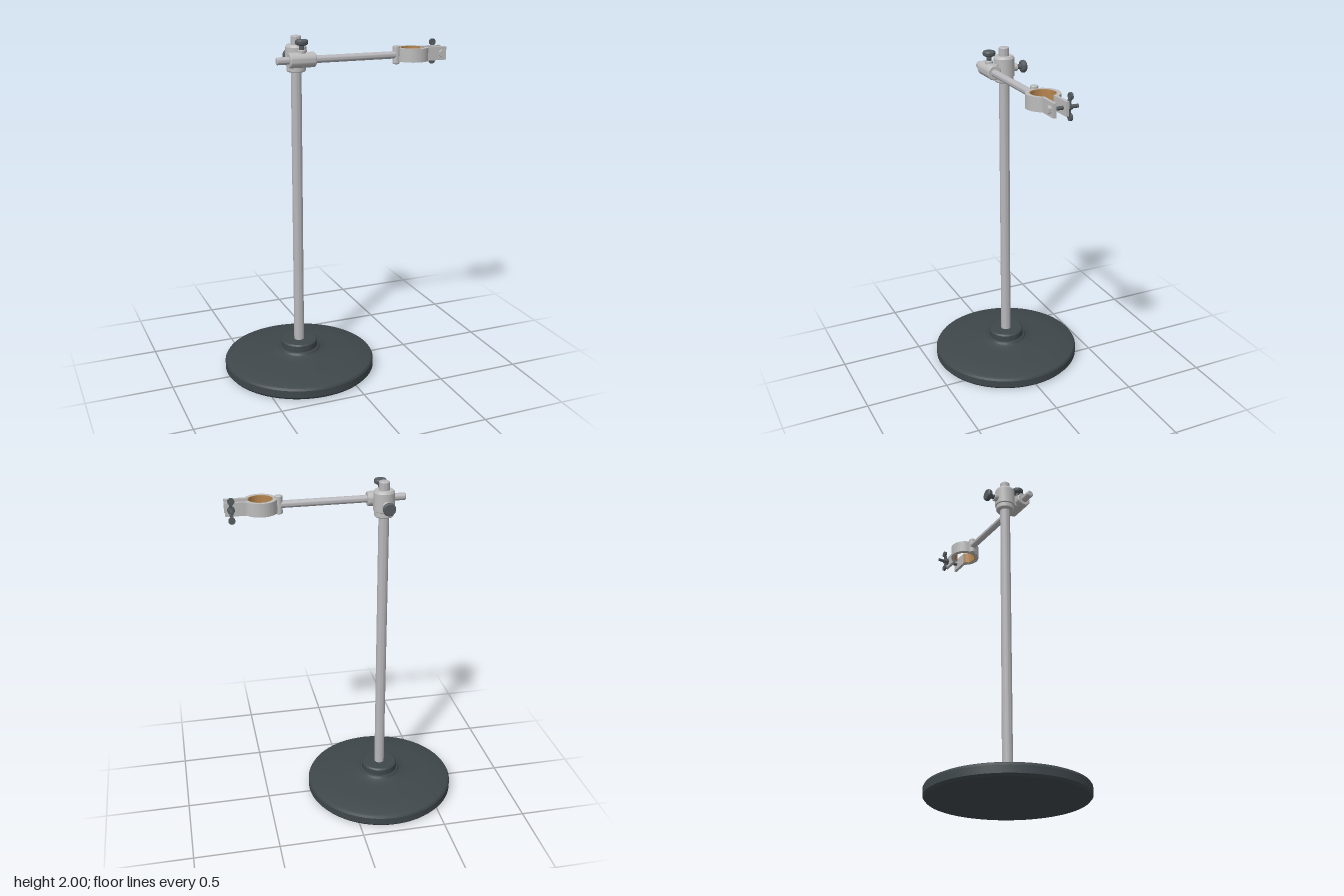
import * as THREE from 'three';
import { toCreasedNormals } from 'three/addons/utils/BufferGeometryUtils.js';

const mat = (name, color) => {
  const m = new THREE.MeshStandardMaterial({ color });
  m.name = name;
  return m;
};

export function createModel() {
  const iron = mat('dark cast iron', 0x3f474b);
  const rodSteel = mat('rod steel', 0xb8b8bc);
  const castSteel = mat('clamp steel', 0xbcbcbc);
  const knobGrey = mat('knob grey', 0x565c60);
  const cork = mat('cork', 0xb5854f);

  const model = new THREE.Group();
  const ROD_X = -0.212, ARM_Y = 1.876, ARM_Z = 0.092, RING_X = 0.461;

  const add = (parent, name, geo, material, x = 0, y = 0, z = 0) => {
    const mesh = new THREE.Mesh(toCreasedNormals(geo, 0.5), material);
    mesh.name = name;
    mesh.position.set(x, y, z);
    parent.add(mesh);
    return mesh;
  };
  const lathe = (pts, seg = 32) =>
    new THREE.LatheGeometry(pts.map(p => new THREE.Vector2(p[0], p[1])), seg);
  // Solid bar with chamfered ends, centred along y
  const bar = (r, len, c = 0.005, seg = 32) => lathe([
    [0, -len / 2], [r - c, -len / 2], [r, -len / 2 + c],
    [r, len / 2 - c], [r - c, len / 2], [0, len / 2]], seg);
  const group = (name, x, y, z) => {
    const g = new THREE.Group();
    g.name = name;
    g.position.set(x, y, z);
    model.add(g);
    return g;
  };

  // Round weighted base with raised hub
  add(model, 'base', lathe([
    [0, 0], [0.438, 0], [0.45, 0.014], [0.45, 0.056], [0.443, 0.068], [0.428, 0.075],
    [0.3, 0.088], [0.18, 0.1], [0.145, 0.106], [0.125, 0.116], [0.118, 0.127],
    [0.108, 0.13], [0.108, 0.167], [0.1, 0.175], [0, 0.175]], 72), iron, ROD_X);

  // Upright rod
  add(model, 'uprightRod', bar(0.03, 1.86), rodSteel, ROD_X, 1.07, 0);

  // Boss head: vertical collar on the rod and cross sleeve on the arm
  const boss = group('bossHead', ROD_X, ARM_Y, 0);
  add(boss, 'verticalCollar', lathe([
    [0, -0.075], [0.05, -0.075], [0.054, -0.07], [0.054, -0.044], [0.06, -0.04],
    [0.06, 0.062], [0.052, 0.075], [0, 0.075]]), castSteel);
  add(boss, 'crossSleeve', bar(0.042, 0.152).rotateZ(Math.PI / 2), castSteel, 0, 0, ARM_Z);
  add(boss, 'sleeveBridge', new THREE.BoxGeometry(0.07, 0.07, 0.07), castSteel, 0, 0, 0.05);

  // Thumb screw: steel stub, thin shank and rounded knob, along +y
  const thumbScrew = (name, reach) => {
    const g = new THREE.Group();
    g.name = name;
    add(g, 'stub', bar(0.023, reach, 0.003, 24), castSteel, 0, reach / 2);
    add(g, 'shank', new THREE.CylinderGeometry(0.014, 0.014, 0.05, 20), knobGrey, 0, reach + 0.015);
    add(g, 'knob', lathe([
      [0, 0], [0.022, 0], [0.034, 0.007], [0.036, 0.012], [0.036, 0.024],
      [0.031, 0.031], [0, 0.031]], 24), knobGrey, 0, reach + 0.023);
    boss.add(g);
    return g;
  };
  thumbScrew('armThumbScrew', 0.056).position.z = ARM_Z;
  thumbScrew('rodThumbScrew', 0.08).rotation.x = -Math.PI / 2;

  // Horizontal arm and the pin that joins it to the ring
  add(model, 'arm', bar(0.021, 0.715).rotateZ(Math.PI / 2), rodSteel, -0.0015, ARM_Y, ARM_Z);
  add(model, 'armPin', bar(0.021, 0.104, 0.004, 24), castSteel, 0.36, ARM_Y, ARM_Z);

  // Split ring with two parallel lugs
  const ring = group('ringClamp', RING_X, ARM_Y, ARM_Z);
  const extrudeUp = (shape, h) => new THREE.ExtrudeGeometry(shape,
    { depth: h, bevelEnabled: false, curveSegments: 48 })
    .translate(0, 0, -h / 2).rotateX(-Math.PI / 2);
  const R = 0.092, r = 0.07, lug = 0.197, lugOut = 0.044, lugIn = 0.026;
  const aOut = Math.asin(lugOut / R), aIn = Math.asin(lugIn / r);
  const ringShape = new THREE.Shape();
  ringShape.moveTo(lug, lugIn);
  ringShape.lineTo(lug, lugOut);
  ringShape.lineTo(R * Math.cos(aOut), lugOut);
  ringShape.absarc(0, 0, R, aOut, 2 * Math.PI - aOut, false);
  ringShape.lineTo(lug, -lugOut);
  ringShape.lineTo(lug, -lugIn);
  ringShape.lineTo(r * Math.cos(aIn), -lugIn);
  ringShape.absarc(0, 0, r, 2 * Math.PI - aIn, aIn, true);
  add(ring, 'splitRing', extrudeUp(ringShape, 0.076), castSteel);

  // Cork lining inside the ring
  const lining = new THREE.Shape();
  lining.absarc(0, 0, r, aIn, 2 * Math.PI - aIn, false);
  lining.absarc(0, 0, 0.065, 2 * Math.PI - aIn, aIn, true);
  add(ring, 'corkLining', extrudeUp(lining, 0.074), cork);

  // Clamping bolt through the lugs, with hex head and wing nut
  const bolt = group('clampBolt', 0.626, ARM_Y, 0);
  const alongZ = (rad, len, seg) =>
    new THREE.CylinderGeometry(rad, rad, len, seg).rotateX(Math.PI / 2);
  add(bolt, 'boltShank', alongZ(0.01, 0.165, 16), knobGrey, 0, 0, 0.063);
  add(bolt, 'boltHead', alongZ(0.021, 0.017, 6), castSteel, 0, 0, 0.144);
  add(bolt, 'nutCollar', alongZ(0.021, 0.013, 20), knobGrey, 0, 0, 0.041);
  add(bolt, 'nutBody', new THREE.CylinderGeometry(0.019, 0.015, 0.02, 20)
    .rotateX(Math.PI / 2), knobGrey, 0, 0, 0.027);
  for (const side of [-1, 1]) {
    add(bolt, 'wingStem', new THREE.BoxGeometry(0.018, 0.045, 0.013),
      knobGrey, 0, side * 0.03, 0.03).rotation.x = -side * 0.2;
    add(bolt, 'wingTip', alongZ(0.019, 0.014, 20), knobGrey, 0, side * 0.054, 0.024);
  }
  return model;
}
